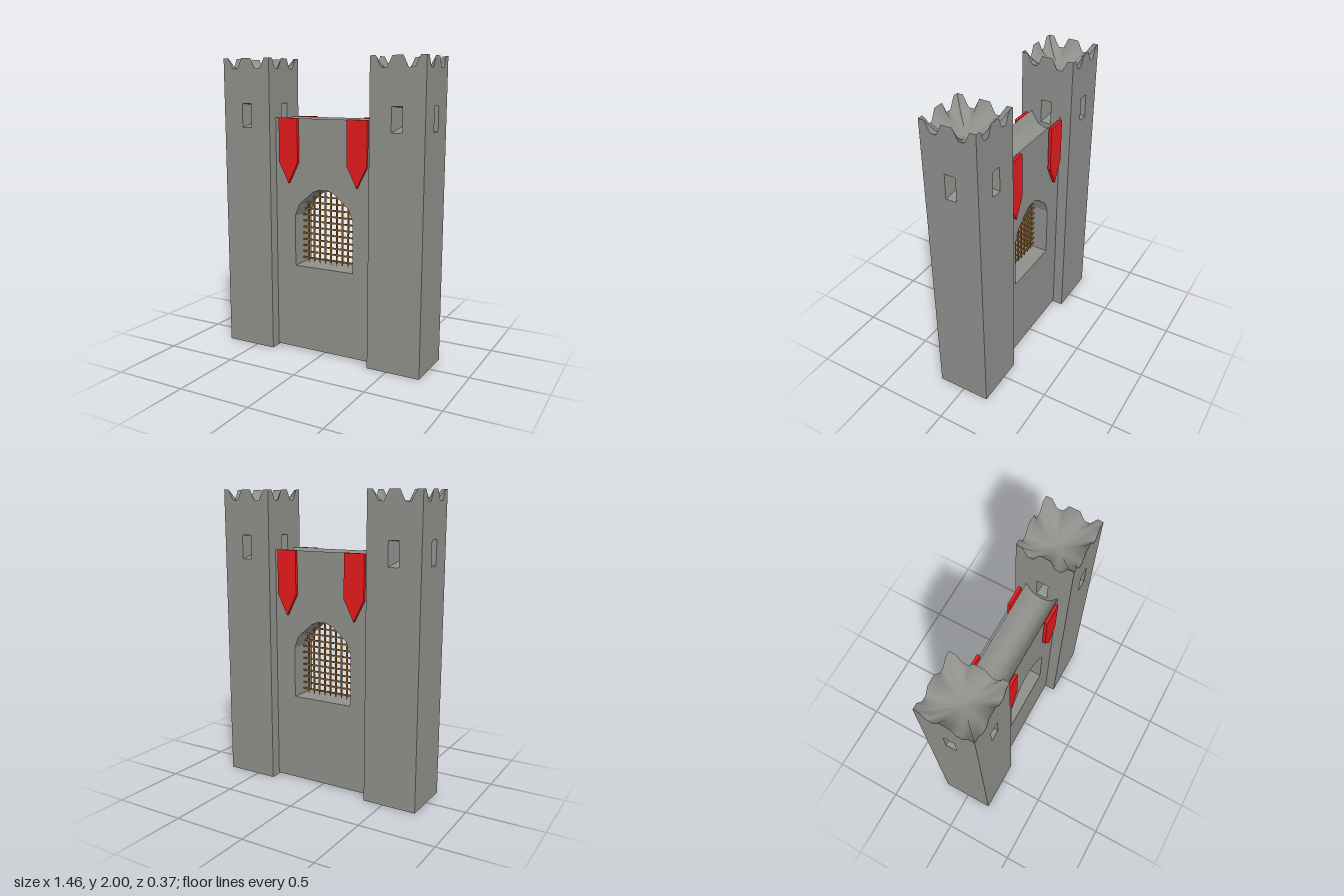
import * as THREE from 'three';

const stone = new THREE.MeshStandardMaterial({ name: 'stone grey', color: 0x8f8f8c });
const cloth = new THREE.MeshStandardMaterial({ name: 'banner red', color: 0xe61a1c });
const wood = new THREE.MeshStandardMaterial({ name: 'gate brown', color: 0x9a6a30 });

const TOWER_X = 0.548, TOWER_H = 0.1825;   // tower centre and half width
const WALL_W = 0.368, WALL_D = 0.108, WALL_TOP = 1.607;

function add(parent, name, geometry, material) {
  const mesh = new THREE.Mesh(geometry, material);
  mesh.name = name;
  parent.add(mesh);
  return mesh;
}

// Surface through rows of points, all rows having equal length
function loft(rows, smooth = false) {
  const n = rows[0].length, index = [];
  for (let i = 0; i < rows.length - 1; i++) {
    for (let j = 0; j < n - 1; j++) {
      const a = i * n + j, d = a + n;
      index.push(a, a + 1, d + 1, a, d + 1, d);
    }
  }
  let g = new THREE.BufferGeometry();
  g.setAttribute('position', new THREE.Float32BufferAttribute(rows.flat(2), 3));
  g.setIndex(index);
  if (!smooth) g = g.toNonIndexed();
  g.computeVertexNormals();
  return g;
}

const outline = pts => pts.map(([x, y]) => new THREE.Vector2(x, y));
const closed = pts => [...pts, pts[0]];
const atZ = (pts, z) => pts.map(([x, y]) => [x, y, z]);
const rect = (w, y0, y1) => [[-w, y0], [w, y0], [w, y1], [-w, y1]];

// Crenellated upper edge of one tower side, left to right
const half = [[0.035, 2], [0.07, 1.93], [0.108, 1.93], [0.145, 2], [TOWER_H, 2]];
const crest = [...half.map(([x, y]) => [-x, y]).reverse(), ...half];

function makeTower() {
  const tower = new THREE.Group();
  const windowOuter = rect(0.036, 1.54, 1.7);
  const windowInner = rect(0.008, 1.585, 1.68);

  const face = new THREE.Shape(outline([[-TOWER_H, 0], [TOWER_H, 0], ...[...crest].reverse()]));
  face.holes.push(new THREE.Path(outline(windowOuter)));
  const faceGeo = new THREE.ShapeGeometry(face);
  const revealGeo = loft([atZ(closed(windowOuter), TOWER_H), atZ(closed(windowInner), 0.008)]);

  const rim = [];
  for (let k = 0; k < 4; k++) {
    const side = new THREE.Group();
    side.name = 'towerSide';
    side.rotation.y = k * Math.PI / 2;
    add(side, 'towerWall', faceGeo, stone).position.z = TOWER_H;
    add(side, 'arrowSlit', revealGeo, stone);
    tower.add(side);
    const c = Math.round(Math.cos(k * Math.PI / 2)), s = Math.round(Math.sin(k * Math.PI / 2));
    for (const [x, y] of crest.slice(0, -1)) {
      rim.push([x * c + TOWER_H * s, y, -x * s + TOWER_H * c]);
    }
  }

  // Hollowed tower top: a bowl whose ripples fade towards the middle
  const ring = s => closed(rim).map(([x, y, z]) =>
    [x * s, 1.86 + 0.1 * s ** 2 + (y - 1.96) * s ** 4, z * s]);
  add(tower, 'towerTop', loft([1, 0.85, 0.7, 0.5, 0.25, 0].map(ring), true), stone);

  // Floor and ceiling where the slits cross, and the tower base
  const small = new THREE.PlaneGeometry(0.016, 0.016);
  add(tower, 'slitFloor', small.clone().rotateX(-Math.PI / 2), stone).position.y = 1.585;
  add(tower, 'slitCeiling', small.clone().rotateX(Math.PI / 2), stone).position.y = 1.68;
  add(tower, 'towerBase', new THREE.PlaneGeometry(2 * TOWER_H, 2 * TOWER_H).rotateX(Math.PI / 2), stone);
  return tower;
}

function makeWall() {
  const wall = new THREE.Group();
  wall.name = 'curtainWall';

  // Arched opening, anticlockwise from the lower right corner
  const right = [[0.218, 0.602], [0.218, 0.95], [0.185, 1.03], [0.08, 1.12], [0.028, 1.14]];
  const arch = [...right, ...right.map(([x, y]) => [-x, y]).reverse()];

  const shape = new THREE.Shape(outline(rect(WALL_W, 0.01, WALL_TOP)));
  shape.holes.push(new THREE.Path(outline(arch)));
  const faceGeo = new THREE.ShapeGeometry(shape);
  for (const turn of [0, Math.PI]) {
    const face = new THREE.Group();
    face.rotation.y = turn;
    face.name = turn ? 'wallBack' : 'wallFront';
    add(face, 'wallFace', faceGeo, stone).position.z = WALL_D;
    wall.add(face);
  }
  add(wall, 'archReveal', loft([atZ(closed(arch), WALL_D), atZ(closed(arch), -WALL_D)]), stone);

  // Walkway sunk between the front and back edges
  const dip = [[-WALL_D, 0], [-0.082, 0.045], [-0.052, 0.085], [0, 0.105], [0.052, 0.085], [0.082, 0.045], [WALL_D, 0]];
  const walkway = [-WALL_W, WALL_W].map(x => dip.map(([z, d]) => [x, WALL_TOP - d, z]));
  add(wall, 'walkway', loft(walkway, true), stone);
  add(wall, 'wallBase', loft([WALL_W, -WALL_W].map(x => [[x, 0.01, -WALL_D], [x, 0.01, WALL_D]])), stone);
  return wall;
}

function makeGate() {
  const gate = new THREE.Group();
  gate.name = 'portcullis';
  const step = 0.0437, bar = 0.01;
  const archTop = x => 1.15 - 0.19 * Math.pow(Math.abs(x) / 0.218, 2);
  for (let i = -4; i <= 4; i++) {
    const x = i * step, top = archTop(x) + 0.01, low = 0.635;
    add(gate, 'uprightBar', new THREE.BoxGeometry(bar, top - low, bar), wood).position.set(x, (top + low) / 2, 0);
    const spike = new THREE.ConeGeometry(0.01, 0.03, 4).toNonIndexed();
    spike.rotateX(Math.PI);
    spike.computeVertexNormals();
    add(gate, 'spike', spike, wood).position.set(x, 0.622, 0);
  }
  for (let y = 0.637; y < 1.14; y += step) {
    const w = y < 0.95 ? 0.222 : Math.min(0.222, 0.218 * Math.sqrt((1.15 - y) / 0.19) + 0.012);
    add(gate, 'crossBar', new THREE.BoxGeometry(2 * w, bar, bar), wood).position.y = y;
  }
  return gate;
}

export function createModel() {
  const model = new THREE.Group();
  model.name = 'castleGate';

  for (const s of [-1, 1]) {
    const tower = makeTower();
    tower.name = s > 0 ? 'leftTower' : 'rightTower';
    tower.position.x = s * TOWER_X;
    model.add(tower);
  }
  model.add(makeWall(), makeGate());

  // Pointed banners, a pair on each face of the wall
  const pennant = new THREE.Shape(outline([[-0.072, 1.315], [0, 1.173], [0.072, 1.315], [0.072, 1.61], [-0.072, 1.61]]));
  const bannerGeo = new THREE.ExtrudeGeometry(pennant, { depth: 0.02, bevelEnabled: false });
  for (const x of [-0.255, 0.255]) {
    add(model, 'frontBanner', bannerGeo, cloth).position.set(x, 0, 0.112);
    add(model, 'backBanner', bannerGeo, cloth).position.set(x, 0, -0.14);
  }
  return model;
}
